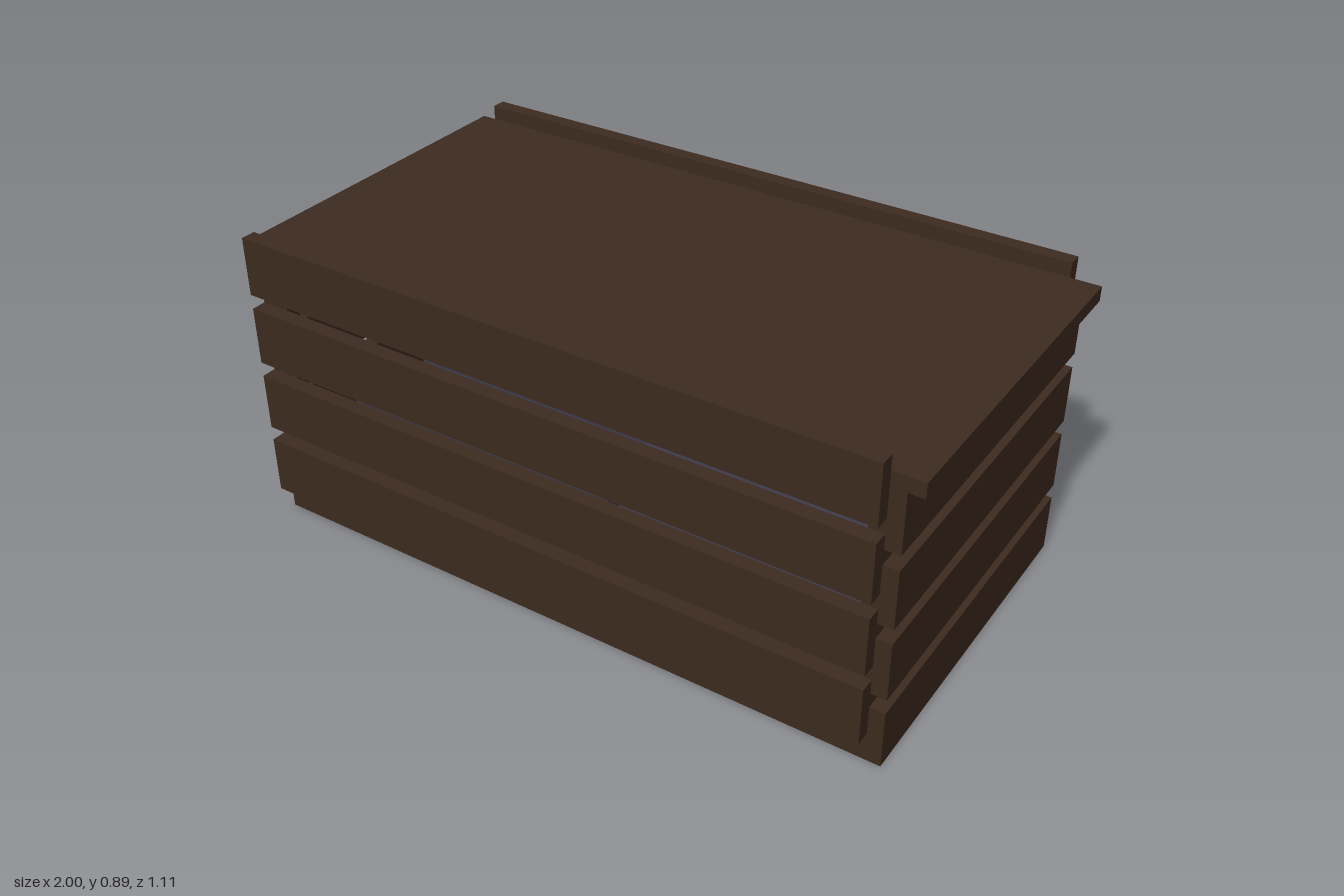
import * as THREE from 'three';

const U = 2 / 47; // plank thickness, the unit of the whole crate

export function createModel() {
  const model = new THREE.Group();
  const wood = new THREE.MeshStandardMaterial({ color: 0x3d2b1f });
  wood.name = 'dark wood';
  const metal = new THREE.MeshStandardMaterial({ color: 0x3c3c4c });
  metal.name = 'blue grey metal';

  // box given by its limits in plank thicknesses
  function box(name, [x0, x1], [y0, y1], [z0, z1], material = wood) {
    const geometry = new THREE.BoxGeometry((x1 - x0) * U, (y1 - y0) * U, (z1 - z0) * U);
    const mesh = new THREE.Mesh(geometry, material);
    mesh.position.set((x0 + x1) / 2 * U, (y0 + y1) / 2 * U, (z0 + z1) / 2 * U);
    mesh.name = name;
    model.add(mesh);
  }

  // floor and lid
  box('floor', [-21.5, 21.5], [0, 1], [-12, 12]);
  box('lid', [-23.5, 23.5], [19, 20], [-12, 12]);

  // four rows of planks, the long sides set higher than the short ones
  for (let i = 0; i < 4; i++) {
    const low = i * 5;
    box('frontPlank', [-22.5, 21.5], [low + 2, low + 6], [12, 13]);
    box('backPlank', [-22.5, 21.5], [low + 2, low + 6], [-13, -12]);
    box('leftPlank', [21.5, 22.5], [low, low + 4], [-12, 12]);
    box('rightPlank', [-22.5, -21.5], [low, low + 4], [-12, 12]);
  }

  // corner posts
  for (const x of [-21.5, 20.5]) {
    for (const z of [-12, 11]) box('cornerPost', [x, x + 1], [1, 19], [z, z + 1]);
  }

  // stored goods: lower layer
  const leftHalf = [2.5, 19.5];
  const rightHalf = [-20.5, 0.5];
  for (const z of [[-11, 0], [5, 7]]) box('lowerCargo', rightHalf, [1, 8], z, metal);
  for (const z of [[0, 2], [2, 5], [7, 10]]) box('lowerCargo', leftHalf, [1, 8], z, metal);

  // stored goods: upper layer and the piece on top
  box('upperCargo', rightHalf, [8, 11], [-10, -2], metal);
  box('upperCargo', leftHalf, [8, 11], [2, 8], metal);
  box('topCargo', [-3.5, 1.5], [8, 13], [-2, 2], metal);
  box('topCargoGrip', [1.5, 4.5], [8, 11], [-1, 1]);

  return model;
}
